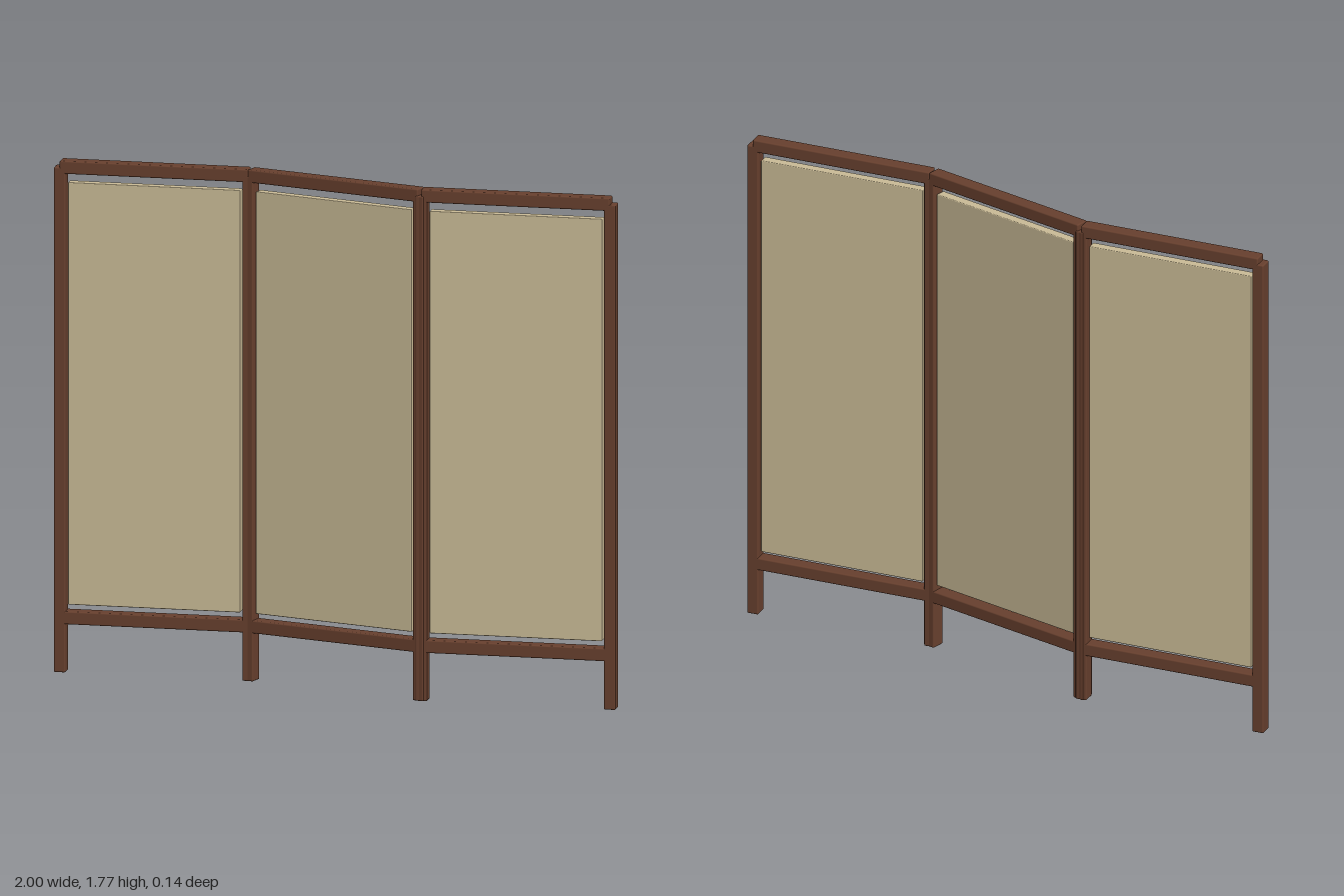
import * as THREE from 'three';
import { RoundedBoxGeometry } from 'three/addons/geometries/RoundedBoxGeometry.js';

export function createModel() {
  const model = new THREE.Group();
  model.name = 'foldingScreen';

  const wood = new THREE.MeshStandardMaterial({ color: 0x68402e });
  wood.name = 'dark wood';
  const cloth = new THREE.MeshStandardMaterial({ color: 0xcbbc97 });
  cloth.name = 'beige cloth';

  const FOLD = THREE.MathUtils.degToRad(8); // fold of each panel
  const POST_X = 0.3265;                    // post offset from the panel centre
  const PITCH = 0.652;                      // distance between panel centres

  // Box with softened edges, placed by its centre
  const block = (name, w, h, d, x, y, bevel, material) => {
    const mesh = new THREE.Mesh(new RoundedBoxGeometry(w, h, d, 2, bevel), material);
    mesh.name = name;
    mesh.position.set(x, y, 0);
    return mesh;
  };

  // One framed panel: two posts, two rails and the cloth infill
  const makePanel = (name) => {
    const panel = new THREE.Group();
    panel.name = name;
    for (const side of [-1, 1]) {
      panel.add(block(side < 0 ? 'rightPost' : 'leftPost',
        0.041, 1.752, 0.05, side * POST_X, 0.876, 0.005, wood));
    }
    panel.add(block('topRail', POST_X * 2, 0.045, 0.05, 0, 1.7525, 0.005, wood));
    panel.add(block('bottomRail', POST_X * 2, 0.045, 0.05, 0, 0.19, 0.005, wood));
    panel.add(block('clothInfill', 0.597, 1.465, 0.035, 0, 0.9675, 0.003, cloth));
    return panel;
  };

  // Three panels folded in a zigzag
  ['rightPanel', 'middlePanel', 'leftPanel'].forEach((name, i) => {
    const panel = makePanel(name);
    panel.position.x = (i - 1) * PITCH;
    panel.rotation.y = i === 1 ? -FOLD : FOLD;
    model.add(panel);
  });

  return model;
}
